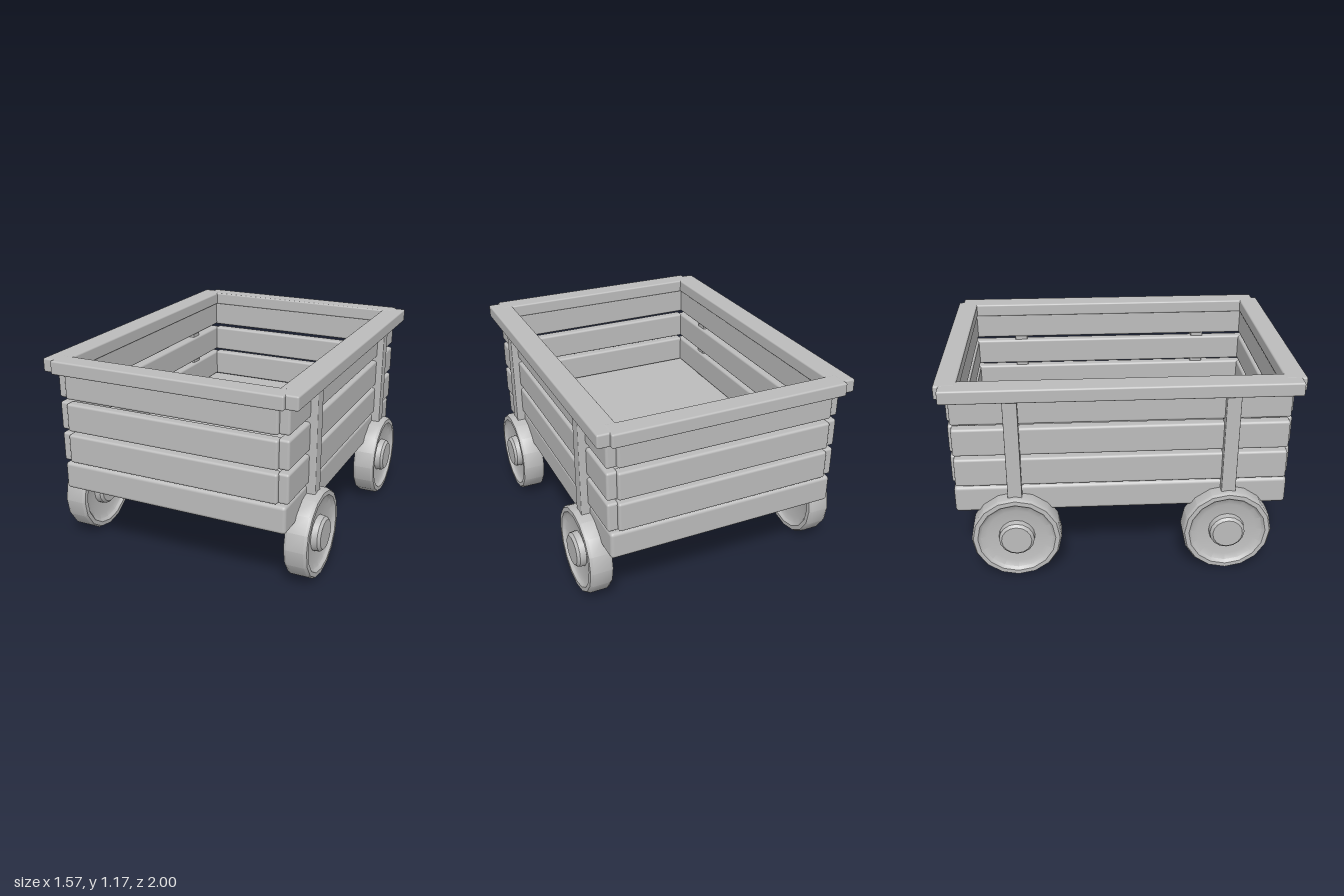
import * as THREE from 'three';
import { toCreasedNormals } from 'three/addons/utils/BufferGeometryUtils.js';
import { RoundedBoxGeometry } from 'three/addons/geometries/RoundedBoxGeometry.js';

const wood = new THREE.MeshStandardMaterial({ color: 0xbcbcbc });
wood.name = 'plain grey';

// Bevelled board given by its min and max corners
function board(name, [x0, y0, z0], [x1, y1, z1], bevel = 0.014) {
  const geo = new RoundedBoxGeometry(x1 - x0, y1 - y0, z1 - z0, 2, bevel);
  const mesh = new THREE.Mesh(geo, wood);
  mesh.name = name;
  mesh.position.set((x0 + x1) / 2, (y0 + y1) / 2, (z0 + z1) / 2);
  return mesh;
}

// Dished wheel with a hub on both faces, turned about its axle
function wheelGeometry() {
  const half = [
    [0.255, 0.05], [0.245, 0.066], [0.22, 0.067], [0.205, 0.05],
    [0.17, 0.04], [0.103, 0.035], [0.1, 0.07], [0.085, 0.085], [0, 0.085],
  ];
  const outer = half.map(([r, h]) => new THREE.Vector2(r, h));
  const inner = half.map(([r, h]) => new THREE.Vector2(r, -h)).reverse();
  const geo = new THREE.LatheGeometry([...inner, ...outer], 16);
  geo.rotateZ(Math.PI / 2);
  return toCreasedNormals(geo, 0.6);
}

export function createModel() {
  const cart = new THREE.Group();
  cart.name = 'cart';

  // Floor slab
  cart.add(board('floor', [-0.68, 0.39, -0.94], [0.68, 0.55, 0.94], 0.02));

  // Three rows of wall slats
  const rows = [[0.56, 0.73], [0.75, 0.915], [0.94, 1.1]];
  for (const [y0, y1] of rows) {
    for (const s of [-1, 1]) {
      const x = [0.625 * s, 0.69 * s].sort((a, b) => a - b);
      const z = [0.885 * s, 0.95 * s].sort((a, b) => a - b);
      cart.add(board('sideSlat', [x[0], y0, -0.928], [x[1], y1, 0.928]));
      cart.add(board('endSlat', [-0.635, y0, z[0]], [0.635, y1, z[1]]));
    }
  }

  // Top rim rails
  for (const s of [-1, 1]) {
    const x = [0.615 * s, 0.75 * s].sort((a, b) => a - b);
    const z = [0.88 * s, 1.0 * s].sort((a, b) => a - b);
    cart.add(board('sideRail', [x[0], 1.092, -0.972], [x[1], 1.17, 0.972], 0.01));
    cart.add(board('endRail', [-0.682, 1.092, z[0]], [0.682, 1.171, z[1]], 0.01));
  }

  // Posts and wheels at the four corners
  const wheelGeo = wheelGeometry();
  for (const sx of [-1, 1]) {
    for (const sz of [-1, 1]) {
      const x = [0.64 * sx, 0.73 * sx].sort((a, b) => a - b);
      const z = 0.6 * sz;
      cart.add(board('post', [x[0], 0.48, z - 0.04], [x[1], 1.1, z + 0.04], 0.006));
      const wheel = new THREE.Mesh(wheelGeo, wood);
      wheel.name = 'wheel';
      wheel.position.set(0.7 * sx, 0.255, z);
      cart.add(wheel);
    }
  }
  return cart;
}
